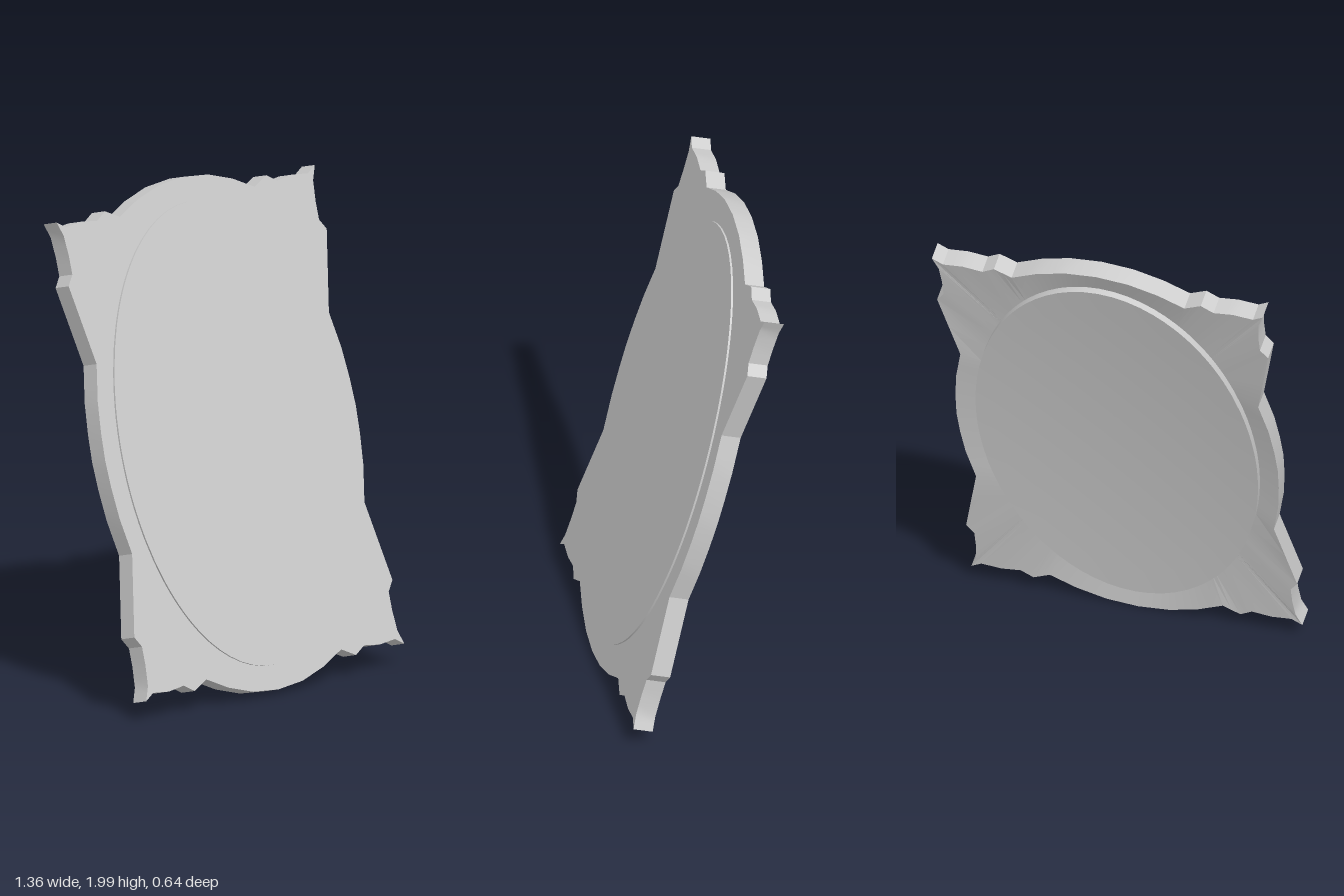
import * as THREE from 'three';
import { toCreasedNormals } from 'three/addons/utils/BufferGeometryUtils.js';

const TILT = THREE.MathUtils.degToRad(16);
const MID_Y = 1.015;
const OVAL_X = 0.575, OVAL_Y = 0.926;   // radii of the oval panel
const FRONT = 0, BACK = -0.08;          // faces of the frame's edge
const GROOVE = -0.058;                  // frame back where it meets the oval
const PANEL_FRONT = 0.008, PANEL_BACK = -0.085, DISH = 0.03;

// One quarter of the scalloped outline, from side middle to top middle (upright heights)
const QUARTER = [
  [0.66, 1.015], [0.655, 1.12], [0.642, 1.24], [0.612, 1.38], [0.68, 1.69], [0.65, 1.73],
  [0.65, 1.8], [0.657, 1.88], [0.68, 1.935], [0.637, 1.91], [0.555, 1.918], [0.475, 1.908],
  [0.425, 1.937], [0.355, 1.904], [0.25, 1.953], [0.13, 1.988], [0, 2.0],
].map(([x, y]) => [x, (y - MID_Y) / Math.cos(TILT)]);

// Mirror the quarter into a full counter-clockwise loop and subdivide each side
function outlineLoop() {
  const mirror = (sx, sy) => QUARTER.map(([x, y]) => [x * sx, y * sy]);
  const corners = [
    ...mirror(1, 1).slice(0, -1),
    ...mirror(-1, 1).reverse().slice(0, -1),
    ...mirror(-1, -1).slice(0, -1),
    ...mirror(1, -1).reverse().slice(0, -1),
  ];
  const loop = [];
  corners.forEach(([x, y], i) => {
    const [nx, ny] = corners[(i + 1) % corners.length];
    const steps = 2;
    for (let k = 0; k < steps; k++) {
      const t = k / steps;
      loop.push([x + (nx - x) * t, y + (ny - y) * t]);
    }
  });
  return loop;
}

const outline = outlineLoop();
// Oval points lying on the same rays as the outline points
const oval = outline.map(([x, y]) => {
  const s = 1 / Math.hypot(x / OVAL_X, y / OVAL_Y);
  return [x * s, y * s];
});

const at = (loop, z, scale = 1) => loop.map(([x, y]) => [x * scale, y * scale, z]);

// Skin a series of matching loops
function skin(name, loops, crease, material) {
  const positions = [];
  for (let r = 0; r < loops.length - 1; r++) {
    const a = loops[r], b = loops[r + 1];
    for (let i = 0; i < a.length; i++) {
      const j = (i + 1) % a.length;
      positions.push(...a[i], ...a[j], ...b[j], ...a[i], ...b[j], ...b[i]);
    }
  }
  const geometry = new THREE.BufferGeometry();
  geometry.setAttribute('position', new THREE.Float32BufferAttribute(positions, 3));
  const mesh = new THREE.Mesh(toCreasedNormals(geometry, crease), material);
  mesh.name = name;
  return mesh;
}

export function createModel() {
  const material = new THREE.MeshStandardMaterial({ color: 0xcccccc, side: THREE.DoubleSide });
  const model = new THREE.Group();
  model.name = 'ovalPanelInFrame';

  // Frame: sloping back, scalloped edge and flat front
  const frame = new THREE.Group();
  frame.name = 'frame';
  frame.add(
    skin('frameBack', [at(oval, GROOVE), at(outline, BACK)], 0.15, material),
    skin('frameEdge', [at(outline, BACK), at(outline, FRONT)], 0.35, material),
    skin('frameFront', [at(outline, FRONT), at(oval, FRONT)], 0.35, material),
  );

  // Oval panel: dished back, raised rims and flat front
  const dish = [];
  for (let k = 0; k <= 8; k++) {
    const s = Math.max(k / 8, 0.001);
    dish.push(at(oval, PANEL_BACK + DISH * (1 - s * s), s));
  }
  const panel = new THREE.Group();
  panel.name = 'ovalPanel';
  panel.add(
    skin('panelBack', dish, 0.5, material),
    skin('panelBackRim', [at(oval, PANEL_BACK), at(oval, GROOVE)], 0.5, material),
    skin('panelFrontRim', [at(oval, FRONT), at(oval, PANEL_FRONT)], 0.5, material),
    skin('panelFront', [at(oval, PANEL_FRONT), at(oval, PANEL_FRONT, 0.001)], 0.5, material),
  );

  // Lean the whole piece backwards
  const leaning = new THREE.Group();
  leaning.name = 'leaningPiece';
  leaning.add(frame, panel);
  leaning.rotation.x = -TILT;
  leaning.position.set(0, MID_Y - 0.008, 0.038);
  model.add(leaning);
  return model;
}
